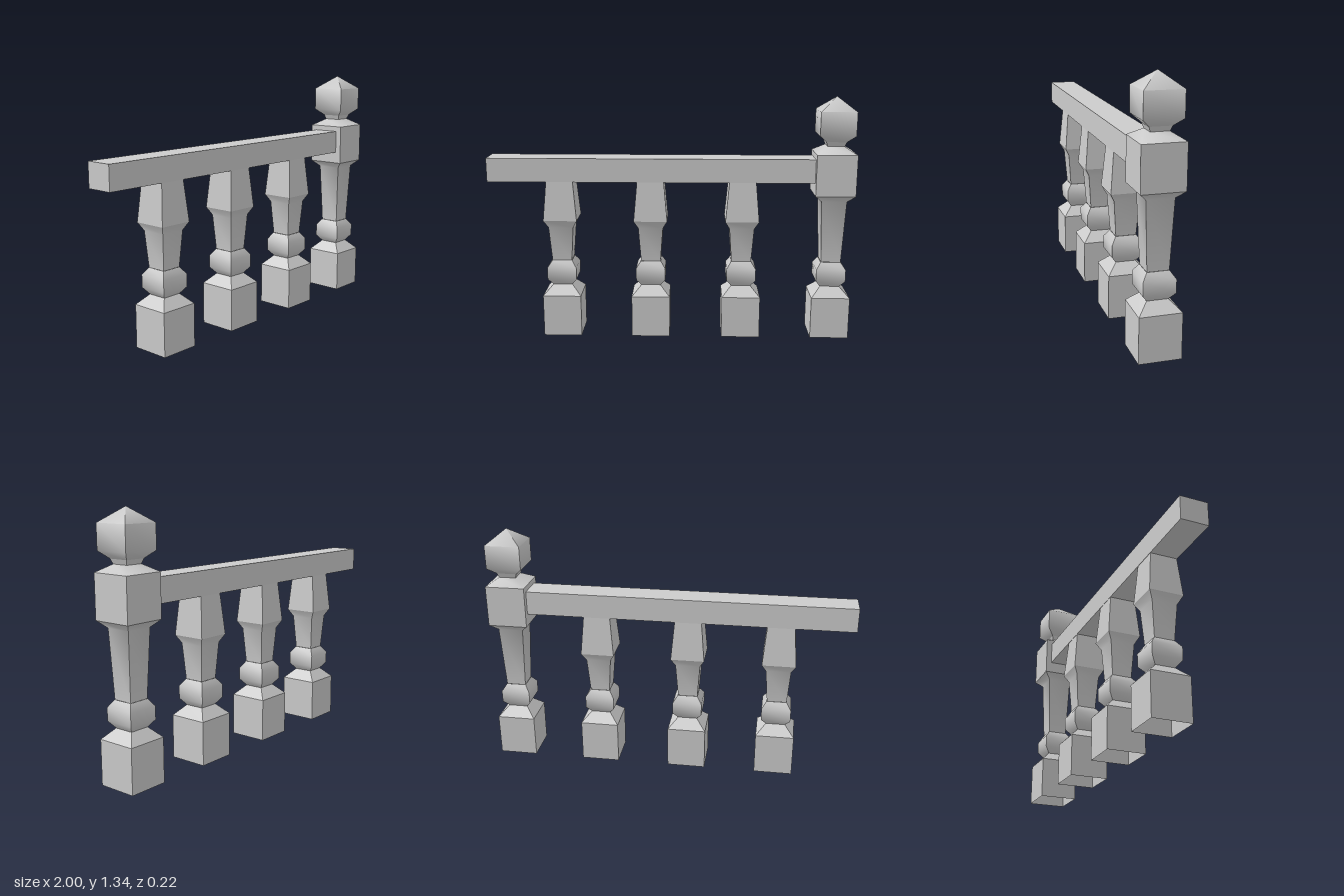
import * as THREE from 'three';
import { toCreasedNormals } from 'three/addons/utils/BufferGeometryUtils.js';

const material = new THREE.MeshStandardMaterial({ color: 0xcccccc, side: THREE.DoubleSide });

// Square-section turning: profile of [half width, height], smooth along the run, sharp at the corners
function squareTurning(name, profile) {
  const points = profile.map(([half, y]) => new THREE.Vector2(half * Math.SQRT2, y));
  const geometry = toCreasedNormals(new THREE.LatheGeometry(points, 4, Math.PI / 4), 0.96);
  const mesh = new THREE.Mesh(geometry, material);
  mesh.name = name;
  return mesh;
}

// Foot block, sloped shoulder and bulge shared by the balusters and the post
function addFoot(group) {
  group.add(
    squareTurning('footBlock', [[0.106, 0], [0.106, 0.233]]),
    squareTurning('footShoulder', [[0.106, 0.233], [0.053, 0.287]]),
    squareTurning('bulge', [[0.053, 0.287], [0.081, 0.323], [0.081, 0.39], [0.055, 0.428]])
  );
}

function createBaluster(x) {
  const group = new THREE.Group();
  group.name = 'baluster';
  addFoot(group);
  group.add(
    squareTurning('balusterShaft', [[0.054, 0.428], [0.068, 0.62], [0.092, 0.663]]),
    squareTurning('balusterHead', [[0.092, 0.663], [0.072, 0.89]])
  );
  group.position.x = x;
  return group;
}

function createPost(x) {
  const group = new THREE.Group();
  group.name = 'newelPost';
  addFoot(group);
  group.add(
    squareTurning('postShaft', [[0.054, 0.428], [0.069, 0.775], [0.108, 0.812]]),
    squareTurning('postBlock', [[0.108, 0.812], [0.108, 1.037]]),
    squareTurning('postShoulder', [[0.108, 1.037], [0.046, 1.075]]),
    squareTurning('finialNeck', [[0.046, 1.075], [0.055, 1.1]]),
    squareTurning('finial', [[0.055, 1.1], [0.096, 1.137], [0.096, 1.265], [0, 1.34]])
  );
  group.position.x = x;
  return group;
}

export function createModel() {
  const model = new THREE.Group();
  model.name = 'balustrade';

  for (const x of [-0.605, -0.108, 0.395]) model.add(createBaluster(x));
  model.add(createPost(0.892));

  // Handrail running into the post block
  const rail = new THREE.Mesh(new THREE.BoxGeometry(1.8, 0.13, 0.15), material);
  rail.name = 'handrail';
  rail.position.set(-0.1, 0.943, 0);
  model.add(rail);

  return model;
}
